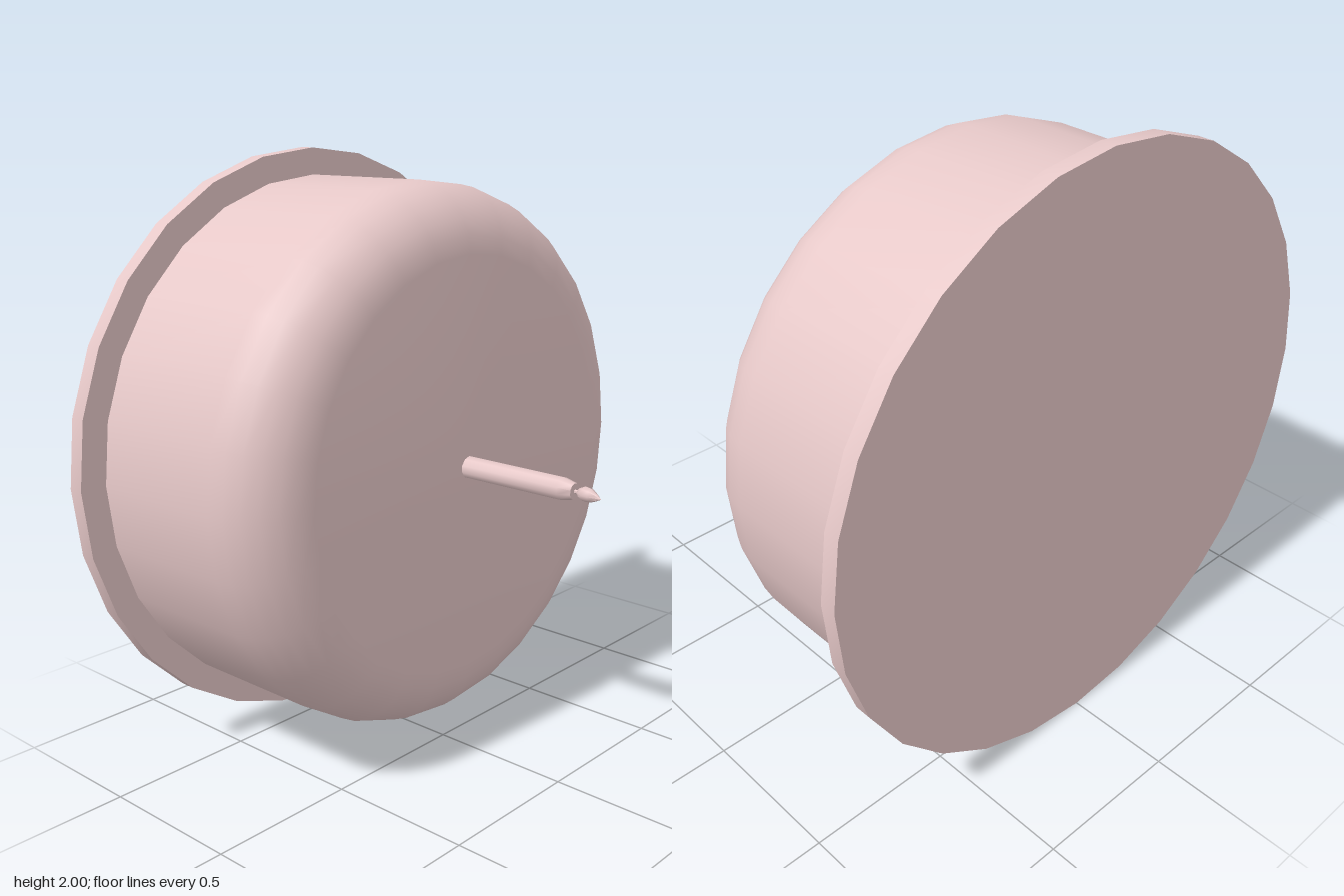
import * as THREE from 'three';
import { toCreasedNormals } from 'three/addons/utils/BufferGeometryUtils.js';

const material = new THREE.MeshStandardMaterial({ color: 0xe6c8c8 });

// Turned part whose axis runs along +z; profile is [radius, z] from back to front
function turned(name, profile, sides, crease = 0.6, bend) {
  const points = profile.map(([r, z]) => new THREE.Vector2(r, z));
  const geometry = new THREE.LatheGeometry(points, sides).rotateX(Math.PI / 2);
  if (bend) bend(geometry.attributes.position);
  const mesh = new THREE.Mesh(toCreasedNormals(geometry, crease), material);
  mesh.name = name;
  mesh.position.y = 1;
  return mesh;
}

export function createModel() {
  const model = new THREE.Group();
  model.name = 'cakeOnPlate';

  // Thin round plate at the back
  model.add(turned('plate', [[0, -0.645], [1, -0.645], [1, -0.59], [0, -0.59]], 28));

  // Cake body with a rounded front rim
  const body = [[0, -0.6], [0.91, -0.6]];
  const steps = 6;
  for (let i = 0; i <= steps; i++) {
    const a = (i / steps) * Math.PI / 2;
    body.push([0.69 + 0.22 * Math.cos(a), -0.1 + 0.213 * Math.sin(a)]);
  }
  body.push([0, 0.113]);
  model.add(turned('cake', body, 28));

  // Candle with a tapered end, and its wick
  model.add(turned('candle',
    [[0, 0.1], [0.037, 0.1], [0.037, 0.49], [0.026, 0.535], [0, 0.535]], 10, 0.7));
  model.add(turned('wick', [[0, 0.52], [0.006, 0.52], [0.006, 0.56], [0, 0.56]], 6, 1.1));

  // Teardrop flame, its tip leaning to one side
  const flame = [[0, 0.542], [0.014, 0.552], [0.024, 0.575], [0.022, 0.597], [0.011, 0.623], [0, 0.645]];
  model.add(turned('flame', flame, 8, 1.1, (position) => {
    for (let i = 0; i < position.count; i++) {
      const t = (position.getZ(i) - 0.542) / 0.103;
      position.setX(i, position.getX(i) - 0.02 * t * t);
    }
  }));

  return model;
}
